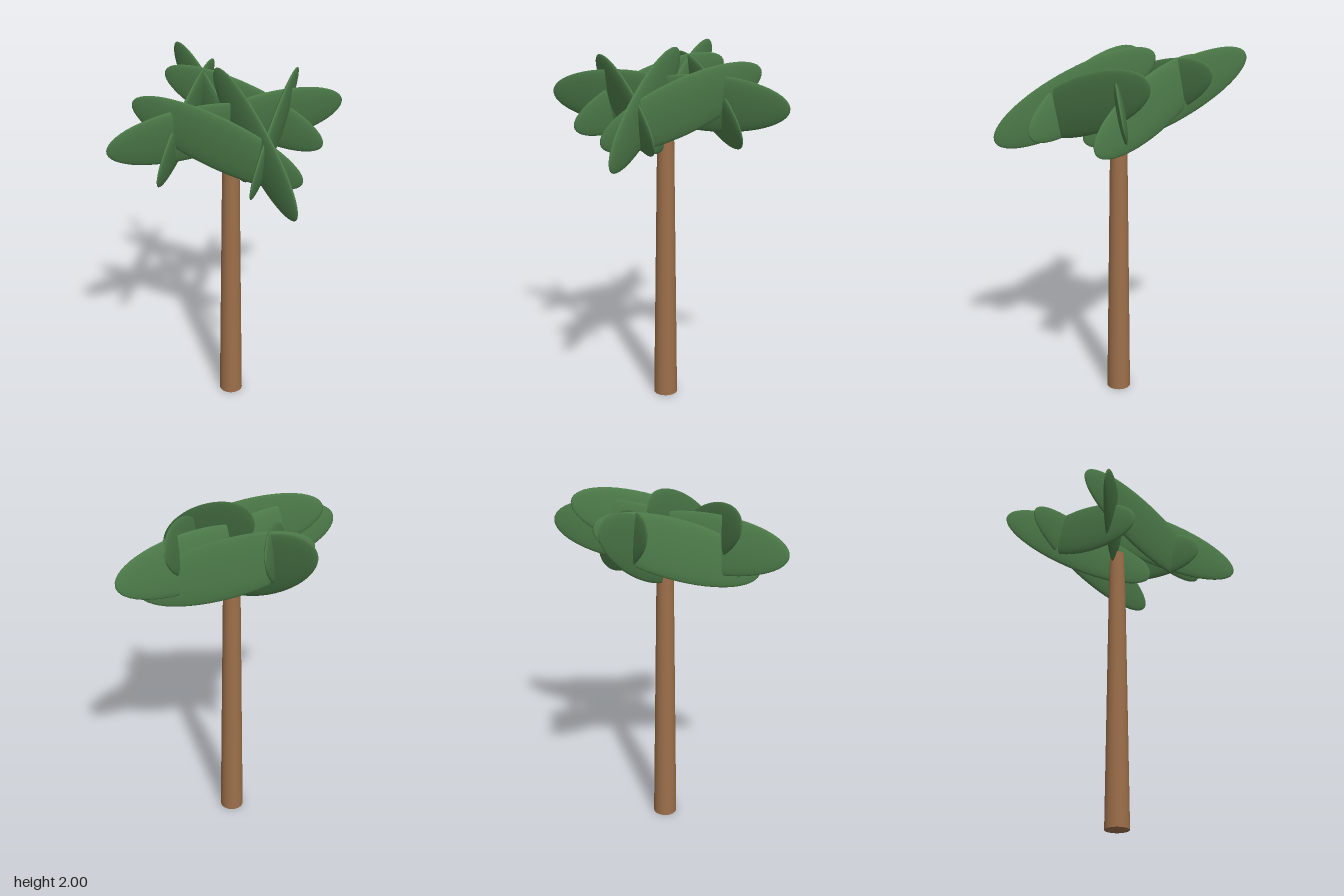
import * as THREE from 'three';

export function createModel() {
  const model = new THREE.Group();
  model.name = 'palmTree';

  const bark = new THREE.MeshStandardMaterial({ color: 0x9c6f4a });
  bark.name = 'bark brown';
  const leaf = new THREE.MeshStandardMaterial({ color: 0x4c7a49 });
  leaf.name = 'leaf green';

  // Tapered trunk
  const height = 1.65;
  const trunk = new THREE.Mesh(new THREE.CylinderGeometry(0.045, 0.0675, height, 32), bark);
  trunk.name = 'trunk';
  trunk.position.y = height / 2;
  model.add(trunk);

  // Crown: eight thin ellipsoid fronds, all leaning forward, stretched upward together
  const crown = new THREE.Group();
  crown.name = 'crown';
  crown.position.y = 1.727;
  crown.scale.y = 1.67;
  model.add(crown);

  const frondGeometry = new THREE.SphereGeometry(1, 40, 28);
  frondGeometry.scale(0.456, 0.097, 0.022);
  const radius = 0.241;
  for (let i = 0; i < 8; i++) {
    const angle = (i / 8) * Math.PI * 2;
    const frond = new THREE.Mesh(frondGeometry, leaf);
    frond.name = `frond${i + 1}`;
    frond.position.set(Math.cos(angle) * radius, 0, Math.sin(angle) * radius);
    // The diagonal fronds lie across the ring, the others point outward.
    // Opposite signs of the tilt on z fronds come from the shared lean about x.
    frond.rotation.set(0.3, angle, 0);
    crown.add(frond);
  }

  return model;
}
